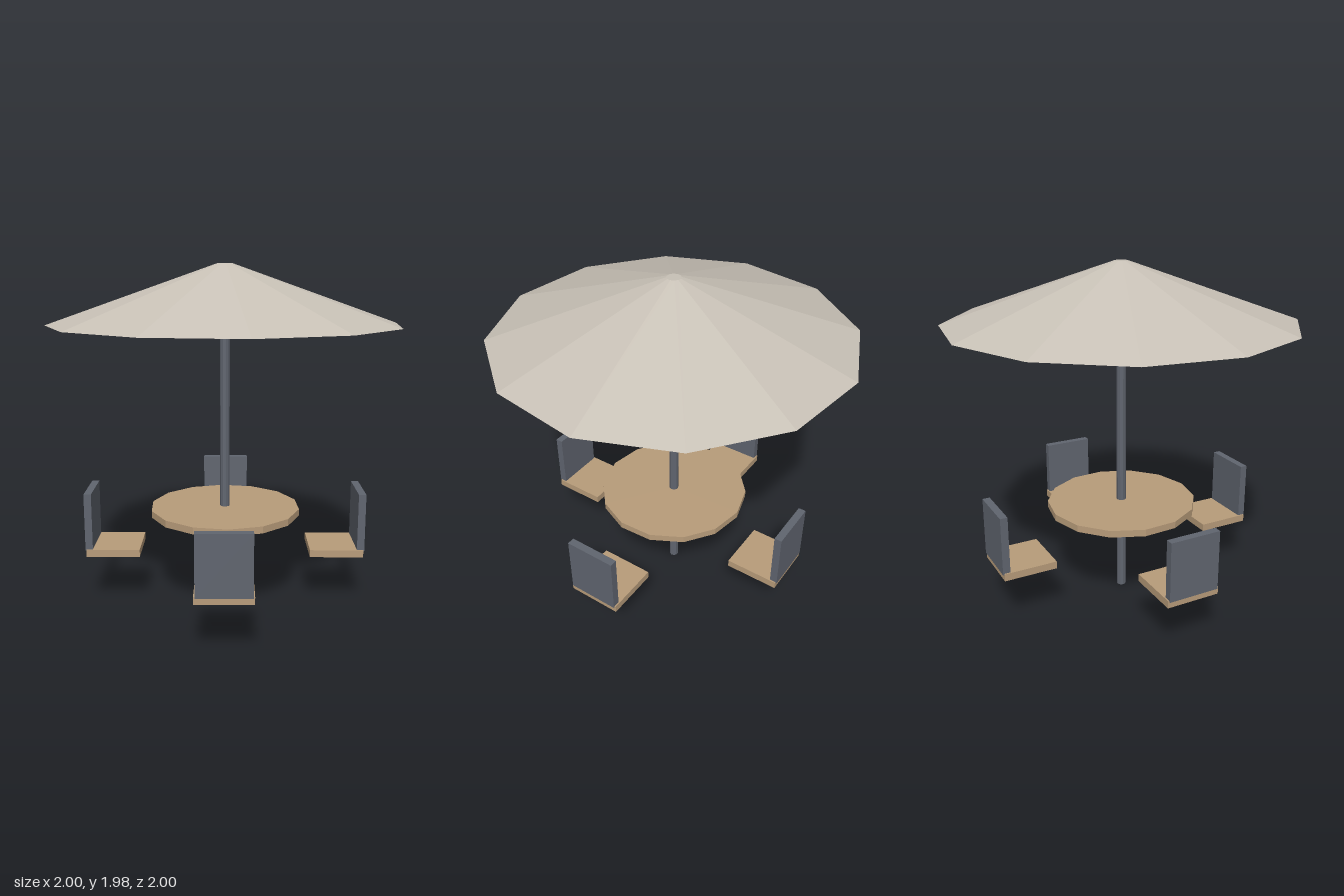
import * as THREE from 'three';

function material(name, color) {
  const m = new THREE.MeshStandardMaterial({ color, flatShading: true });
  m.name = name;
  return m;
}

export function createModel() {
  const fabric = material('canopy fabric', 0xc8c1b6);
  const wood = material('wood', 0xb89c7a);
  const metal = material('grey metal', 0x60656f);
  const model = new THREE.Group();
  model.name = 'parasolTable';

  function add(parent, name, geometry, mat, x, y, z) {
    const mesh = new THREE.Mesh(geometry, mat);
    mesh.name = name;
    mesh.position.set(x, y, z);
    parent.add(mesh);
  }

  // Central pole, round table and twelve-sided canopy
  add(model, 'pole', new THREE.CylinderGeometry(0.028, 0.028, 1.7, 10), metal, 0, 0.85, 0);
  add(model, 'tableTop', new THREE.CylinderGeometry(0.44, 0.44, 0.04, 14), wood, 0, 0.556, 0);
  add(model, 'canopy', new THREE.CylinderGeometry(0.04, 1, 0.336, 12), fabric, 0, 1.812, 0);

  // Four chairs facing the pole
  const seat = new THREE.BoxGeometry(0.31, 0.043, 0.31);
  const back = new THREE.BoxGeometry(0.295, 0.341, 0.043);
  for (let i = 0; i < 4; i++) {
    const chair = new THREE.Group();
    chair.name = 'chair' + (i + 1);
    chair.rotation.y = 0.4 + i * Math.PI / 2;
    add(chair, 'seat', seat, wood, 0, 0.33, 0.65);
    add(chair, 'backrest', back, metal, 0, 0.5135, 0.79);
    model.add(chair);
  }
  return model;
}
